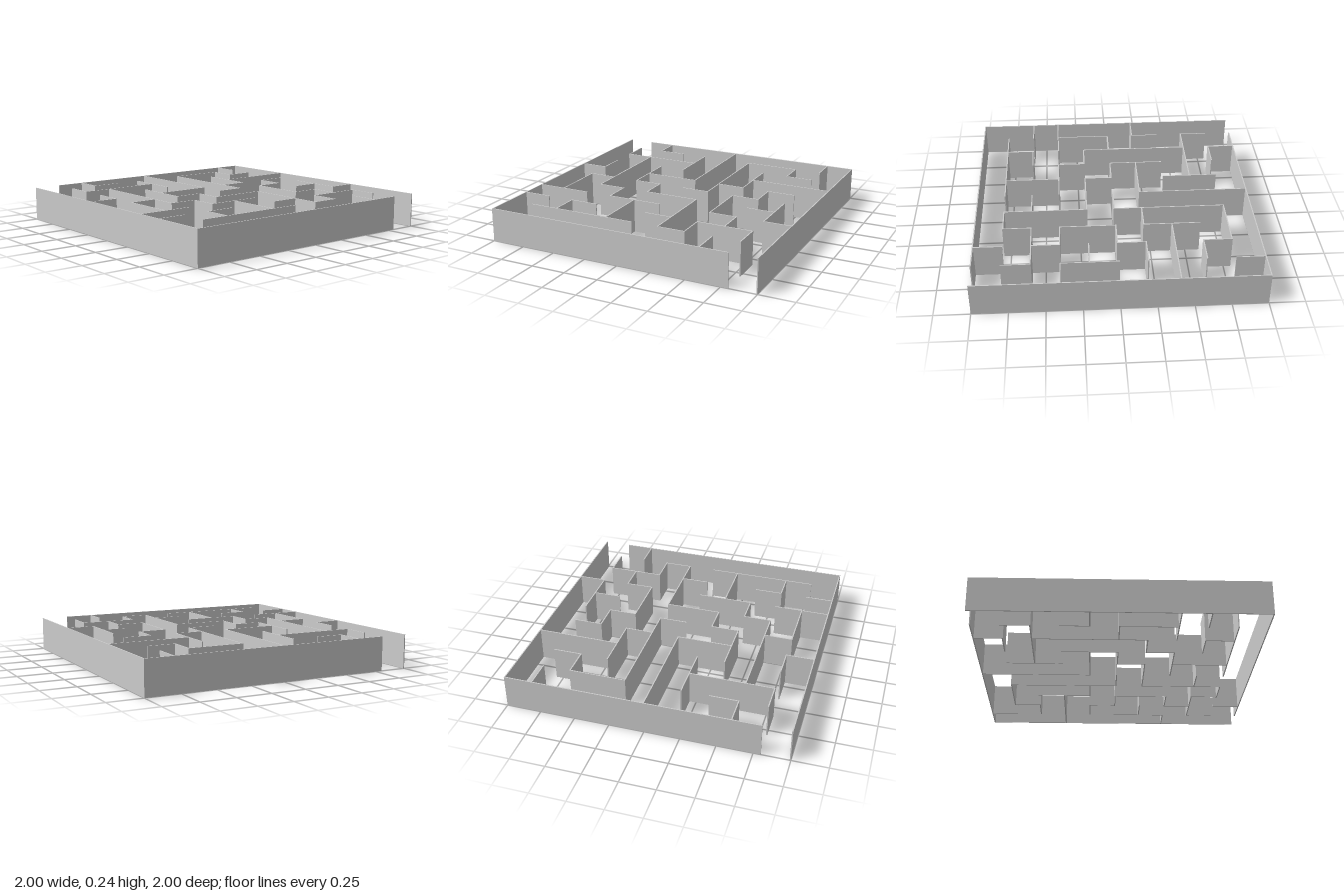
import * as THREE from 'three';

const CELLS = 10, HEIGHT = 0.243, THICK = 0.008;
const PITCH = (2 - THICK) / CELLS;

// Wall runs as [column, row] grid corners; row 0 is the back, column 0 is -x
const outerWalls = [
  [[1, 0], [10, 0], [10, 10]],
  [[0, 0], [0, 10], [9, 10]],
];
const innerWalls = [
  // back left
  [[2, 0], [2, 1], [3, 1]],
  [[1, 1], [1, 2], [4, 2]],
  [[4, 1], [4, 3]],
  [[0, 4], [1, 4], [1, 3]],
  [[5, 0], [5, 4], [3, 4]],
  // long runs through the middle
  [[2, 2], [2, 6], [3, 6], [3, 7], [5, 7]],
  [[3, 3], [3, 5], [4, 5], [4, 6], [6, 6], [6, 9], [7, 9], [7, 8], [9, 8], [9, 9]],
  [[5, 5], [6, 5], [6, 1], [8, 1], [8, 2], [9, 2]],
  // back right
  [[9, 0], [9, 1]],
  [[6, 4], [7, 4], [7, 2]],
  [[7, 3], [10, 3]],
  // front right
  [[9, 4], [8, 4], [8, 5], [7, 5], [7, 7], [8, 7], [8, 8]],
  [[8, 6], [9, 6]],
  [[9, 5], [9, 7], [10, 7]],
  [[8, 9], [8, 10]],
  // front left
  [[2, 5], [1, 5], [1, 7]],
  [[0, 7], [2, 7]],
  [[0, 8], [1, 8]],
  [[2, 9], [2, 8], [3, 8]],
  [[1, 9], [5, 9]],
  [[4, 7], [4, 9]],
  [[5, 8], [6, 8]],
];

const toWorld = (n) => (n - CELLS / 2) * PITCH;

// One thin upright slab per straight stretch of each run
function buildWalls(runs, name, material) {
  const group = new THREE.Group();
  group.name = name + 's';
  for (const run of runs) {
    for (let k = 1; k < run.length; k++) {
      const [c0, r0] = run[k - 1], [c1, r1] = run[k];
      const geometry = new THREE.BoxGeometry(
        Math.abs(c1 - c0) * PITCH + THICK, HEIGHT, Math.abs(r1 - r0) * PITCH + THICK);
      const wall = new THREE.Mesh(geometry, material);
      wall.name = name;
      wall.position.set(toWorld((c0 + c1) / 2), HEIGHT / 2, toWorld((r0 + r1) / 2));
      group.add(wall);
    }
  }
  return group;
}

export function createModel() {
  const model = new THREE.Group();
  model.name = 'maze';
  const material = new THREE.MeshStandardMaterial({ color: 0xcccccc });
  model.add(buildWalls(outerWalls, 'outerWall', material));
  model.add(buildWalls(innerWalls, 'innerWall', material));
  return model;
}
